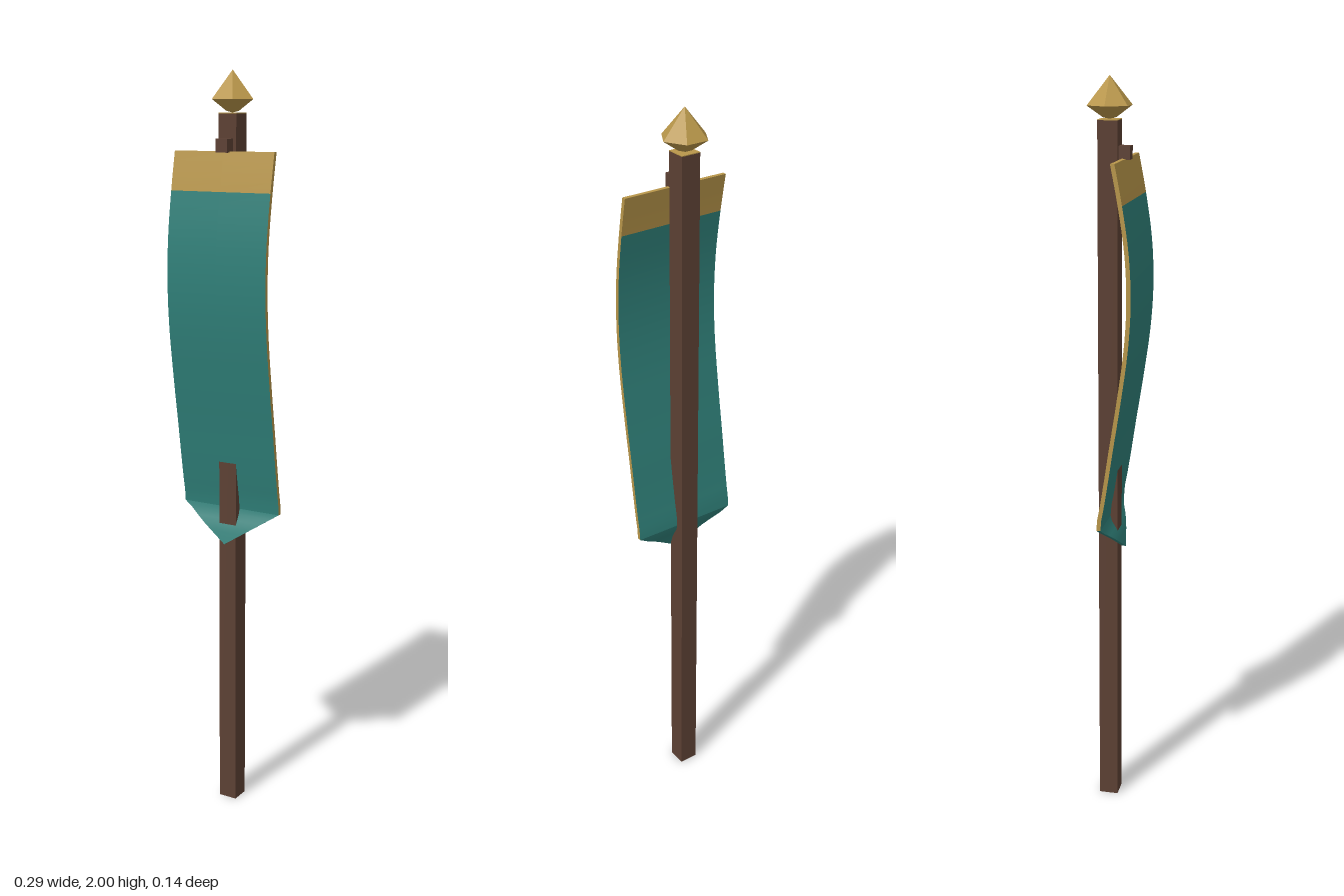
import * as THREE from 'three';

const POLE_Z = -0.017;
const HALF = 0.147;
const THICK = 0.011;

const mat = (color, flatShading = false) =>
  new THREE.MeshStandardMaterial({ color, flatShading, side: THREE.DoubleSide });

// side profile of the hanging cloth, as (height, depth) from top to tip
const sway = new THREE.SplineCurve([
  [1.8, 0.022], [1.7, 0.041], [1.58, 0.058], [1.46, 0.063], [1.34, 0.056], [1.2, 0.037],
  [1.08, 0.018], [1.0, 0.006], [0.93, -0.005], [0.855, -0.016], [0.81, 0.005], [0.76, 0.021],
].map(([y, z]) => new THREE.Vector2(y, z)));
const samples = sway.getPoints(200);

function depthAt(y) {
  let i = samples.findIndex((p) => p.x <= y);
  if (i < 0) i = samples.length - 1;
  if (i === 0) return samples[0].y;
  const a = samples[i - 1], b = samples[i];
  return a.y + (b.y - a.y) * Math.min(1, (a.x - y) / (a.x - b.x));
}

// a slab of cloth between two heights, bent along the sway; it may taper to a point
function clothPiece(name, top, bottom, rows, materials, taper = false) {
  const geo = new THREE.BoxGeometry(2 * HALF, top - bottom, THICK, 2, rows, 1);
  geo.translate(0, (top + bottom) / 2, 0);
  const p = geo.attributes.position;
  for (let i = 0; i < p.count; i++) {
    const y = p.getY(i);
    if (taper) p.setX(i, p.getX(i) * (y - bottom) / (top - bottom));
    p.setZ(i, p.getZ(i) + depthAt(y));
  }
  geo.computeVertexNormals();
  const mesh = new THREE.Mesh(geo, materials);
  mesh.name = name;
  return mesh;
}

export function createModel() {
  const group = new THREE.Group();
  const wood = mat(0x5c4033, true);
  const gold = mat(0xb8964a, true);
  const trim = mat(0xb8964a);
  const teal = mat(0x2f7f78);

  function box(name, w, h, d, y, z, material) {
    const mesh = new THREE.Mesh(new THREE.BoxGeometry(w, h, d), material);
    mesh.position.set(0, y, z);
    mesh.name = name;
    group.add(mesh);
  }

  // square pole with a gold top and the small peg that holds the cloth
  box('pole', 0.052, 1.893, 0.052, 0.9465, POLE_Z, wood);
  box('poleCap', 0.052, 0.002, 0.052, 1.894, POLE_Z, gold);
  box('peg', 0.034, 0.034, 0.032, 1.814, 0.022, wood);

  // six-sided finial
  const outline = [[0, 1.895], [0.018, 1.899], [0.06, 1.928], [0, 2]]
    .map(([r, y]) => new THREE.Vector2(r, y));
  const finial = new THREE.Mesh(new THREE.LatheGeometry(outline, 6, Math.PI / 2), gold);
  finial.position.z = POLE_Z;
  finial.name = 'finial';
  group.add(finial);

  // banner: gold header, teal body with gold side edges, pointed tip
  group.add(
    clothPiece('bannerHeader', 1.8, 1.7, 4, trim),
    clothPiece('bannerBody', 1.7, 0.855, 28, [trim, trim, teal, teal, teal, teal]),
    clothPiece('bannerTip', 0.855, 0.76, 6, teal, true),
  );
  return group;
}
